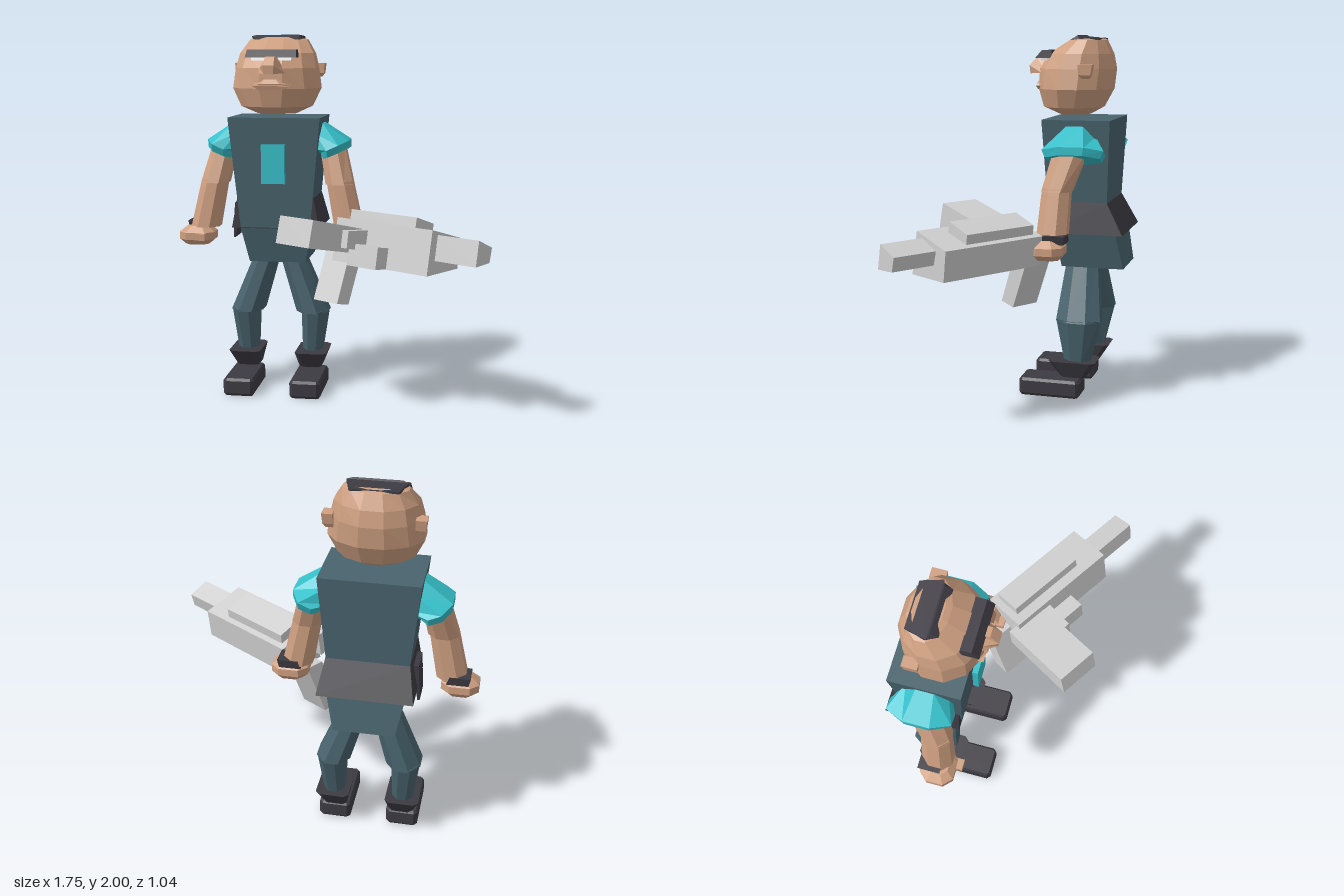
import * as THREE from 'three';

const mat = (name, color) => Object.assign(new THREE.MeshStandardMaterial({ color }), { name });

// Faceted solid through equal-sized cross-sections, capped at both ends.
function loft(name, material, rings) {
  const pos = [];
  const tri = (a, b, c) => pos.push(...a, ...b, ...c);
  const n = rings[0].length;
  for (let r = 0; r < rings.length - 1; r++) {
    for (let i = 0; i < n; i++) {
      const j = (i + 1) % n, A = rings[r], B = rings[r + 1];
      tri(A[i], A[j], B[j]);
      tri(A[i], B[j], B[i]);
    }
  }
  const first = rings[0], last = rings[rings.length - 1];
  for (let i = 1; i < n - 1; i++) {
    tri(first[0], first[i + 1], first[i]);
    tri(last[0], last[i], last[i + 1]);
  }
  // Turn the solid right side out if its signed volume is negative
  let volume = 0;
  const a = new THREE.Vector3(), b = new THREE.Vector3(), c = new THREE.Vector3();
  for (let i = 0; i < pos.length; i += 9) {
    a.fromArray(pos, i); b.fromArray(pos, i + 3); c.fromArray(pos, i + 6);
    volume += a.dot(b.cross(c));
  }
  if (volume < 0) {
    for (let i = 0; i < pos.length; i += 9) {
      for (let k = 0; k < 3; k++) [pos[i + 3 + k], pos[i + 6 + k]] = [pos[i + 6 + k], pos[i + 3 + k]];
    }
  }
  const geo = new THREE.BufferGeometry();
  geo.setAttribute('position', new THREE.Float32BufferAttribute(pos, 3));
  geo.computeVertexNormals();
  const mesh = new THREE.Mesh(geo, material);
  mesh.name = name;
  return mesh;
}

// Horizontal rectangle
const rect = (y, x0, x1, z0, z1) => [[x0, y, z0], [x1, y, z0], [x1, y, z1], [x0, y, z1]];

// Horizontal rectangle with cut corners
const cutRect = (y, x0, x1, z0, z1, k) => [
  [x0 + k, y, z0], [x1 - k, y, z0], [x1, y, z0 + k], [x1, y, z1 - k],
  [x1 - k, y, z1], [x0 + k, y, z1], [x0, y, z1 - k], [x0, y, z0 + k]];

// Elliptical ring; its x axis may rise by "tilt"
function oval(x, y, z, rx, rz, n = 8, tilt = 0) {
  return Array.from({ length: n }, (_, i) => {
    const t = ((i + 0.5) / n) * Math.PI * 2, k = 1 / Math.cos(Math.PI / n);
    return [x + rx * k * Math.cos(t), y + tilt * k * Math.cos(t), z + rz * k * Math.sin(t)];
  });
}

// Bar along local x with a (z, y) outline
const bar = (name, m, x0, x1, outline) =>
  loft(name, m, [x0, x1].map(x => outline.map(([z, y]) => [x, y, z])));

export function createModel() {
  const skin = mat('skin', 0xcfa081);
  const cloth = mat('darkTealCloth', 0x48636d);
  const teal = mat('brightTeal', 0x36c0ca);
  const dark = mat('charcoal', 0x3d3b42);
  const metal = mat('lightGreyMetal', 0xd0d0d0);
  const white = mat('eyeWhite', 0xe6e4e6);

  const model = new THREE.Group();
  const body = new THREE.Group();
  body.name = 'figure';
  body.position.x = -0.325;
  model.add(body);
  const add = (...args) => body.add(loft(...args));

  // Head: y, half width, front z, back z
  const head = [
    [1.57, 0.11, -0.12, -0.29], [1.61, 0.2, -0.035, -0.36], [1.71, 0.248, -0.01, -0.412],
    [1.82, 0.232, -0.015, -0.425], [1.9, 0.212, -0.065, -0.41], [1.975, 0.165, -0.18, -0.375],
    [1.987, 0.13, -0.21, -0.35]];
  add('head', skin, head.map(([y, rx, f, b]) => oval(0, y, (f + b) / 2, rx * 0.97, (f - b) / 2, 12)));
  add('hair', dark, [
    [[-0.15, 1.975, -0.26], [-0.12, 1.975, -0.36], [0.12, 1.975, -0.36], [0.15, 1.975, -0.26], [0.12, 1.975, -0.2], [-0.12, 1.975, -0.2]],
    [[-0.15, 1.993, -0.25], [-0.12, 1.985, -0.36], [0.12, 1.985, -0.36], [0.15, 1.993, -0.25], [0.12, 2, -0.24], [-0.12, 2, -0.24]]]);
  add('brow', dark, [rect(1.877, -0.14, 0.14, -0.1, -0.008), rect(1.92, -0.135, 0.135, -0.1, -0.045)]);
  add('nose', skin, [
    [[-0.08, 1.795, -0.03], [0.08, 1.795, -0.03], [0.025, 1.79, 0.05], [-0.025, 1.79, 0.05]],
    [[-0.065, 1.825, -0.03], [0.065, 1.825, -0.03], [0.03, 1.835, 0.054], [-0.03, 1.835, 0.054]],
    [[-0.03, 1.885, -0.06], [0.03, 1.885, -0.06], [0.025, 1.88, 0.012], [-0.025, 1.88, 0.012]]]);
  add('upperLip', skin, [
    [[-0.12, 1.73, -0.04], [0.12, 1.73, -0.04], [0.05, 1.737, 0.006], [-0.05, 1.737, 0.006]],
    [[-0.05, 1.765, -0.03], [0.05, 1.765, -0.03], [0.03, 1.76, -0.005], [-0.03, 1.76, -0.005]]]);
  add('lowerLip', skin, [rect(1.705, -0.07, 0.07, -0.04, -0.008), rect(1.725, -0.1, 0.1, -0.04, -0.002)]);

  // Torso, pelvis, belt and chest panel
  add('torso', cloth, [rect(1.55, -0.257, 0.257, -0.45, -0.075), rect(0.935, -0.197, 0.197, -0.425, -0.11)]);
  add('pelvis', cloth, [rect(0.94, -0.205, 0.205, -0.475, -0.13), rect(0.73, -0.16, 0.16, -0.517, -0.17)]);
  add('belt', dark, [rect(1.105, -0.215, 0.215, -0.43, -0.115), rect(0.93, -0.248, 0.248, -0.525, -0.112)]);
  add('holster', dark, [rect(1.06, -0.25, -0.215, -0.35, -0.2), rect(0.86, -0.262, -0.25, -0.35, -0.21)]);
  const panel = new THREE.Mesh(new THREE.BoxGeometry(0.13, 0.215, 0.03), teal);
  panel.name = 'chestPanel';
  panel.position.set(0, 1.297, -0.063);
  body.add(panel);

  for (const s of [-1, 1]) {
    const side = s > 0 ? 'left' : 'right';
    const pair = (name, m, rings) =>
      add(side + name, m, rings.map(r => r.map(([x, y, z]) => [s * x, y, z])));

    // Eye and ear
    pair('Eye', white, [rect(1.862, 0.02, 0.11, -0.07, -0.032), rect(1.878, 0.02, 0.11, -0.07, -0.038)]);
    pair('Ear', skin, [rect(1.77, 0.2, 0.235, -0.33, -0.29), rect(1.79, 0.2, 0.25, -0.34, -0.275),
      rect(1.845, 0.2, 0.255, -0.35, -0.272)]);

    // Leg
    pair('Thigh', cloth, [oval(0.08, 0.745, -0.275, 0.072, 0.09), oval(0.19, 0.435, -0.28, 0.092, 0.125)]);
    pair('Shin', cloth, [oval(0.203, 0.445, -0.28, 0.076, 0.122), oval(0.187, 0.18, -0.272, 0.054, 0.068)]);
    pair('BootCuff', dark, [cutRect(0.21, 0.1, 0.282, -0.385, -0.12, 0.025),
      cutRect(0.115, 0.118, 0.245, -0.325, -0.185, 0.02)]);
    pair('Boot', dark, [cutRect(0, 0.11, 0.265, -0.285, 0.04, 0.012), cutRect(0.015, 0.1, 0.275, -0.298, 0.05, 0.02),
      cutRect(0.085, 0.1, 0.275, -0.298, 0.05, 0.02), cutRect(0.1, 0.11, 0.265, -0.285, 0.04, 0.012)]);

    // Arm
    pair('Sleeve', teal, [oval(0.2, 1.42, -0.26, 0.05, 0.11, 8, 0.1),
      oval(0.322, 1.385, -0.27, 0.078, 0.168, 8, 0.035), oval(0.325, 1.345, -0.27, 0.075, 0.15, 8, 0.032)]);
    pair('UpperArm', skin, [oval(0.31, 1.38, -0.25, 0.07, 0.09), oval(0.355, 1.18, -0.19, 0.078, 0.08)]);
    pair('Forearm', skin, [oval(0.355, 1.2, -0.19, 0.073, 0.075), oval(0.41, 0.93, -0.178, 0.08, 0.082)]);
    pair('WristBand', dark, [rect(0.96, 0.4, 0.51, -0.265, -0.145), rect(0.915, 0.385, 0.5, -0.26, -0.15)]);
    pair('Hand', skin, [cutRect(0.935, 0.39, 0.51, -0.22, -0.11, 0.03), cutRect(0.9, 0.355, 0.553, -0.255, -0.075, 0.045),
      cutRect(0.86, 0.355, 0.553, -0.255, -0.075, 0.045), cutRect(0.83, 0.39, 0.52, -0.23, -0.1, 0.03)]);
    pair('Thumb', skin, [rect(0.9, 0.39, 0.447, -0.12, -0.042), rect(0.863, 0.39, 0.447, -0.12, -0.042)]);
  }

  // Carried blaster, turned to point forward and to the left
  const gun = new THREE.Group();
  gun.name = 'blaster';
  gun.position.set(0.115, 0, -0.05);
  gun.rotation.y = -0.584;
  gun.add(
    bar('receiver', metal, 0, 0.632, [[-0.12, 0.96], [0.12, 1.03], [0.165, 0.8], [-0.1, 0.8]]),
    bar('barrel', metal, 0.62, 0.88, [[-0.04, 0.95], [0.075, 1.0], [0.1, 0.87], [-0.02, 0.875]]),
    bar('topRail', metal, 0.04, 0.48, [[-0.095, 1.02], [0.05, 1.07], [0.065, 1.0], [-0.085, 0.95]]),
    bar('sideMagazine', metal, -0.05, 0.18, [[0.1, 0.98], [0.51, 1.08], [0.545, 0.94], [0.12, 0.85]]),
    bar('sideBlock', metal, 0.1, 0.22, [[0.1, 0.98], [0.285, 1.0], [0.3, 0.91], [0.12, 0.87]]),
    bar('lowerBlock', metal, 0.18, 0.37, [[0.1, 0.9], [0.23, 0.925], [0.25, 0.81], [0.1, 0.795]]),
    bar('grip', metal, -0.13, 0.04, [[-0.06, 0.87], [0.05, 0.87], [0.17, 0.565], [0.075, 0.545]]));
  model.add(gun);

  return model;
}
